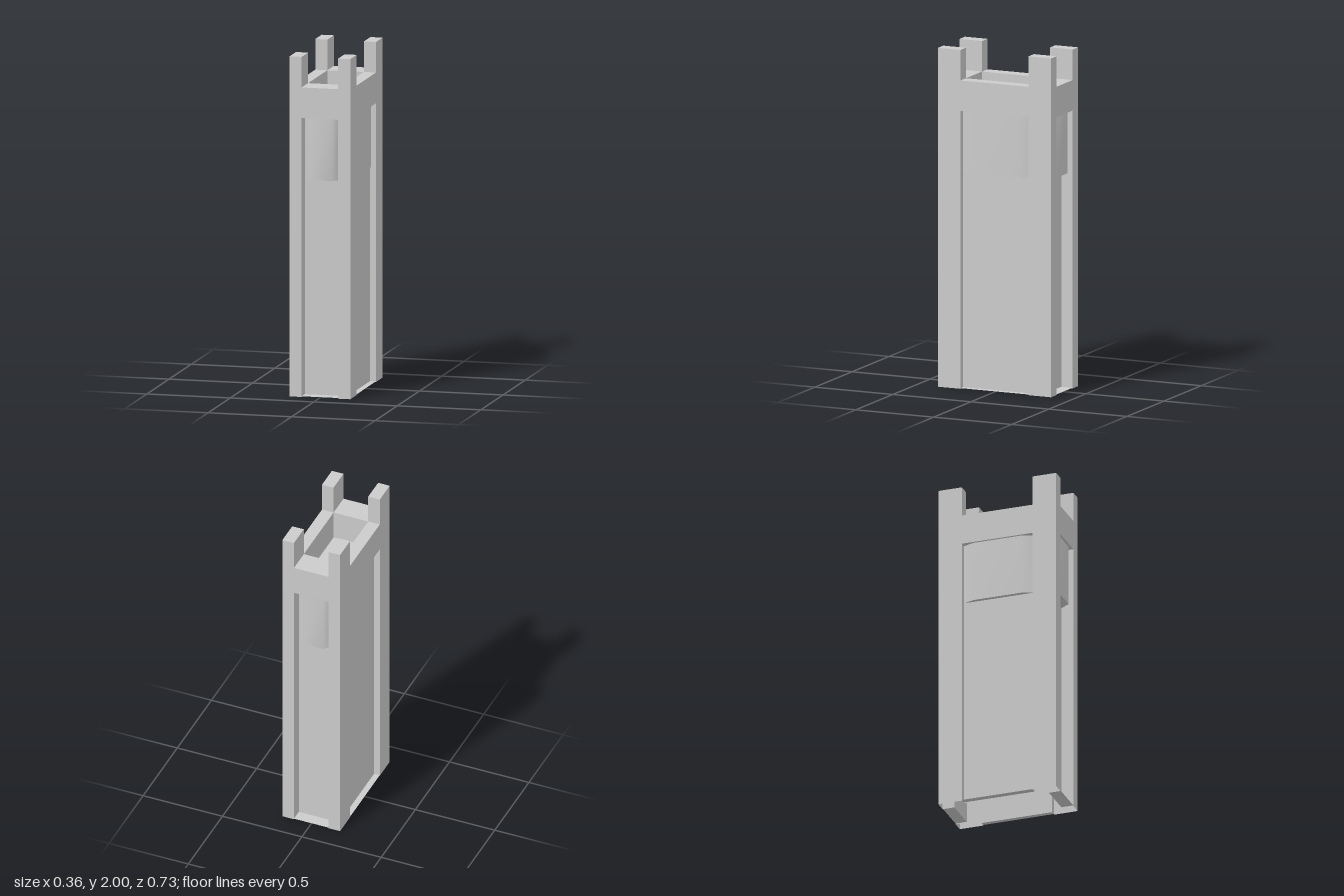
import * as THREE from 'three';
import { mergeVertices } from 'three/addons/utils/BufferGeometryUtils.js';

const material = new THREE.MeshStandardMaterial({ color: 0xcccccc });
const shell = new THREE.MeshStandardMaterial({ color: 0xcccccc, side: THREE.DoubleSide });

// half sizes of the outside, the recessed panels and the hollow shaft
const OUT = { x: 0.182, z: 0.363 };
const PANEL = { x: 0.146, z: 0.291 };
const IN = { x: 0.109, z: 0.218 };
const TOP = 2, RIM = 1.82, BAND = 1.64, SILL = 1.275, LEDGE = 0.004;

function part(name, geometry, mat) {
  const mesh = new THREE.Mesh(geometry, mat);
  mesh.name = name;
  return mesh;
}

// Upright walls along a plan outline of [x, z] points
function walls(outline, y0, y1, closed) {
  const positions = [];
  const count = closed ? outline.length : outline.length - 1;
  for (let i = 0; i < count; i++) {
    const [ax, az] = outline[i];
    const [bx, bz] = outline[(i + 1) % outline.length];
    positions.push(ax, y0, az, bx, y0, bz, bx, y1, bz, ax, y0, az, bx, y1, bz, ax, y1, az);
  }
  const geometry = new THREE.BufferGeometry();
  geometry.setAttribute('position', new THREE.Float32BufferAttribute(positions, 3));
  return geometry;
}

// Horizontal sheet
function sheet(name, width, depth, y, z = 0) {
  const geometry = new THREE.PlaneGeometry(width, depth).rotateX(-Math.PI / 2);
  return part(name, geometry.translate(0, y, z), shell);
}

function rectangle(half) {
  return [[-half.x, -half.z], [half.x, -half.z], [half.x, half.z], [-half.x, half.z]]
    .map(([x, y]) => new THREE.Vector2(x, y));
}

// Bay with softly shaded chamfered sides, its underside, and the ledge at the foot
function side(name, half, faceHalf, panel, outer, inset) {
  const group = new THREE.Group();
  group.name = name;
  const face = outer - inset;
  const outline = [[-half, panel], [-faceHalf, face], [faceHalf, face], [half, panel]];
  const front = mergeVertices(walls(outline, SILL, BAND, false));
  front.computeVertexNormals();
  const plan = new THREE.Shape(outline.map(([x, z]) => new THREE.Vector2(x, z)));
  const underside = new THREE.ShapeGeometry(plan).rotateX(Math.PI / 2).translate(0, SILL, 0);
  group.add(
    part('bayFront', front, shell),
    part('bayUnderside', underside, shell),
    sheet('footLedge', half * 2, outer - panel, LEDGE, (outer + panel) / 2),
  );
  return group;
}

export function createModel() {
  const model = new THREE.Group();
  model.name = 'tower';

  // Hollow body, open below: corner posts with recessed panels between them
  const halfOutline = [
    [-OUT.x, OUT.z], [-IN.x, OUT.z], [-IN.x, PANEL.z], [IN.x, PANEL.z], [IN.x, OUT.z],
    [OUT.x, OUT.z], [OUT.x, IN.z], [PANEL.x, IN.z], [PANEL.x, -IN.z], [OUT.x, -IN.z],
  ];
  const outline = [...halfOutline, ...halfOutline.map(([x, z]) => [-x, -z])];
  const body = walls(outline, 0, BAND, true);
  body.computeVertexNormals();
  model.add(part('body', body, shell));

  // Rim band around the shaft, with the shaft floor
  const ring = new THREE.Shape(rectangle(OUT));
  ring.holes.push(new THREE.Path(rectangle(IN)));
  const rim = new THREE.ExtrudeGeometry(ring, { depth: RIM - BAND, bevelEnabled: false });
  rim.rotateX(-Math.PI / 2).translate(0, BAND, 0);
  model.add(part('rimBand', rim, material));
  model.add(sheet('shaftFloor', IN.x * 2, IN.z * 2, BAND));

  // Corner posts rising above the rim
  for (const sx of [-1, 1]) {
    for (const sz of [-1, 1]) {
      const post = new THREE.BoxGeometry(OUT.x - IN.x, TOP - RIM, OUT.z - IN.z);
      post.translate(sx * (OUT.x + IN.x) / 2, (TOP + RIM) / 2, sz * (OUT.z + IN.z) / 2);
      model.add(part('cornerPost', post, material));
    }
  }

  // Narrow sides at front and back, wide ones left and right
  ['frontSide', 'leftSide', 'backSide', 'rightSide'].forEach((name, i) => {
    const group = i % 2
      ? side(name, IN.z, 0.147, PANEL.x, OUT.x, 0.012)
      : side(name, IN.x, 0.07, PANEL.z, OUT.z, 0.015);
    group.rotation.y = i * Math.PI / 2;
    model.add(group);
  });

  return model;
}
